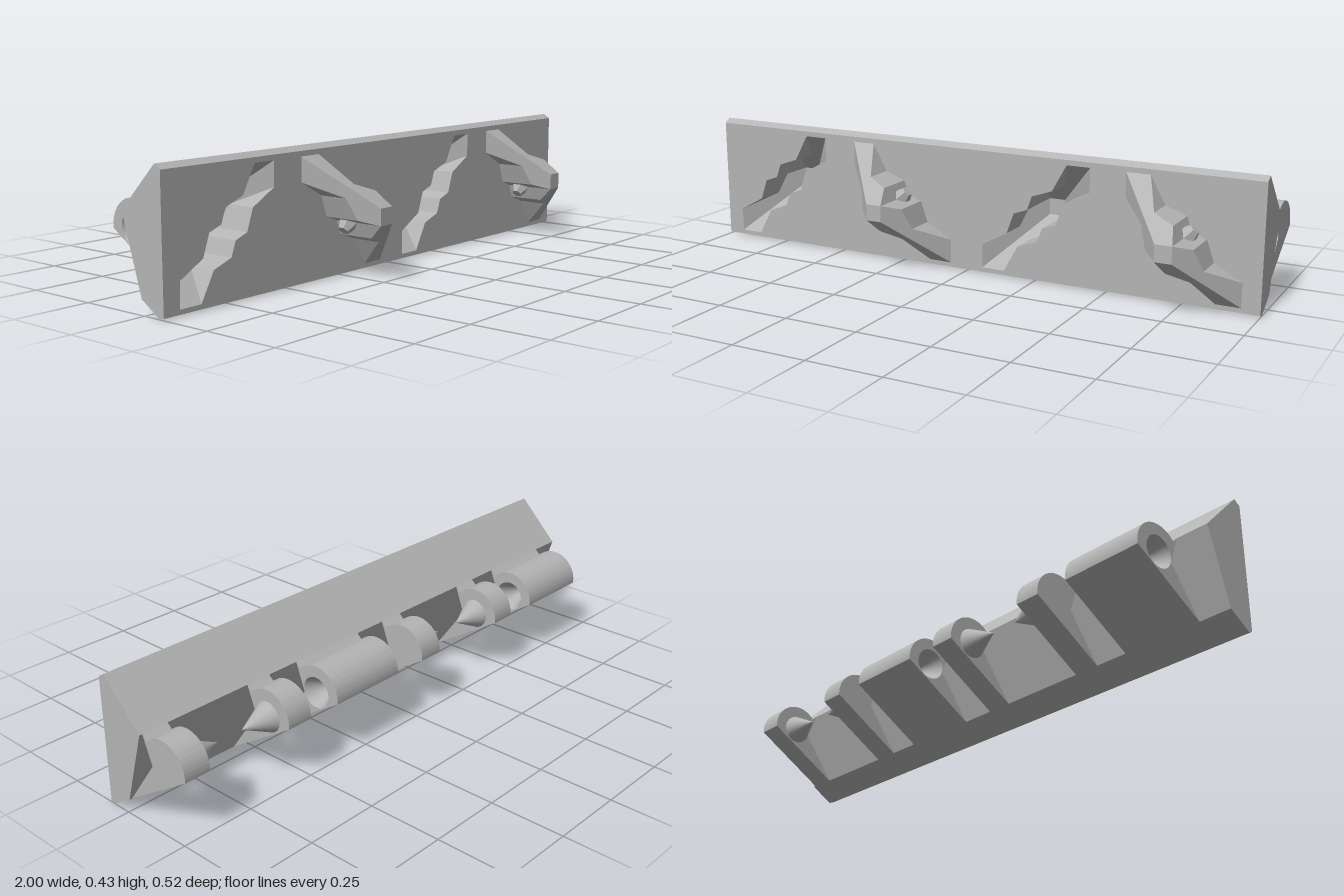
import * as THREE from 'three';
import { toCreasedNormals, mergeGeometries } from 'three/addons/utils/BufferGeometryUtils.js';

const grey = new THREE.MeshStandardMaterial({ color: 0xb4b4b4 });
grey.name = 'plainGrey';

const FRONT = 0.08, MID_Y = 0.21, PIN_Y = 0.213, PIN_Z = -0.17;
const R = 0.19, C = 0.0275, DEPTH = 0.18;
const HALF_PI = Math.PI / 2;

const v2 = (list) => list.map(([a, b]) => new THREE.Vector2(a, b));
const shapeOf = (list) => new THREE.Shape(v2(list));

function add(parent, name, geometry, x = 0, y = 0, z = 0) {
  const mesh = new THREE.Mesh(geometry, grey);
  mesh.name = name;
  mesh.position.set(x, y, z);
  parent.add(mesh);
  return mesh;
}

// One flank of the interlocking lug, from its outer corner to the tip
const flank = [[R, -R], [R, -0.11], [0.10, -0.06], [0.075, 0.01], [C, C]];
const mirrorDiagonal = ([u, v]) => [-v, -u];
const opposite = ([u, v]) => [-u, -v];
const halfOutline = [...flank, ...flank.slice(1, 4).map(mirrorDiagonal).map(opposite).reverse()];
const outline = [...halfOutline, ...halfOutline.map(opposite)];

// Height of the lug: a truncated square pyramid
const height = (u, v) =>
  DEPTH * Math.min(1, (R - Math.max(Math.abs(u), Math.abs(v))) / (R - C));

function lugGeometry() {
  const parts = [];
  const sloped = [...flank, [C, -C]];
  const tip = [[-C, -C], [C, -C], [C, C], [-C, C]];
  const flipped = sloped.map(mirrorDiagonal);
  for (const poly of [sloped, flipped, sloped.map(opposite), flipped.map(opposite), tip]) {
    const g = new THREE.ShapeGeometry(shapeOf(poly)).toNonIndexed();
    const p = g.attributes.position;
    for (let i = 0; i < p.count; i++) p.setZ(i, height(p.getX(i), p.getY(i)));
    parts.push(g);
  }
  // Straight walls down to the base plane
  const wall = [];
  outline.forEach(([u, v], i) => {
    const [s, t] = outline[(i + 1) % outline.length];
    const h = height(u, v), k = height(s, t);
    wall.push(u, v, 0, s, t, 0, s, t, k, u, v, 0, s, t, k, u, v, h);
  });
  const w = new THREE.BufferGeometry();
  w.setAttribute('position', new THREE.Float32BufferAttribute(wall, 3));
  for (const g of parts) { g.deleteAttribute('uv'); g.deleteAttribute('normal'); }
  const merged = mergeGeometries([...parts, w]);
  merged.computeVertexNormals();
  return merged;
}

// Cavity: the lug turned a quarter and pushed inward, so its faces look inside
function socketGeometry() {
  const g = lugGeometry();
  g.rotateZ(HALF_PI);
  g.scale(1, 1, -1);
  g.computeVertexNormals();
  return g;
}

// Bar cross-section as [z, y]
const section = [[FRONT, 0.417], [0.057, 0.432], [-0.085, 0.29], [-0.01, 0.047], [0.065, 0], [FRONT, 0.005]];

function barSides() {
  const pos = [];
  for (let i = 0; i < section.length - 1; i++) {
    const [az, ay] = section[i], [bz, by] = section[i + 1];
    pos.push(-1, ay, az, 1, ay, az, 1, by, bz, -1, ay, az, 1, by, bz, -1, by, bz);
  }
  const g = new THREE.BufferGeometry();
  g.setAttribute('position', new THREE.Float32BufferAttribute(pos, 3));
  g.computeVertexNormals();
  return g;
}

// Hinge knuckle running from x = 0 to x = width
function knuckleGeometry(width, bored) {
  const s = new THREE.Shape();
  s.moveTo(0.01, 0.047);
  s.lineTo(0.12, 0.2);
  s.lineTo(0.085, 0.29);
  s.lineTo(0.102, 0.275);
  s.absarc(-PIN_Z, PIN_Y, 0.09, 2.4, -0.1, true);
  s.lineTo(0.01, 0.047);
  if (bored) s.holes.push(new THREE.Path().absarc(-PIN_Z, PIN_Y, 0.052, 0, Math.PI * 2, false));
  const g = new THREE.ExtrudeGeometry(s, { depth: width, bevelEnabled: false, curveSegments: 28 });
  g.rotateY(HALF_PI);
  return toCreasedNormals(g, 0.5);
}

export function createModel() {
  const model = new THREE.Group();
  model.name = 'hingeBar';

  // Main bar: long sides, end caps, and a front pierced by the sockets
  add(model, 'barSides', barSides());
  for (const side of [1, -1]) {
    const cap = new THREE.ShapeGeometry(shapeOf(section.map(([z, y]) => [-side * z, y])));
    cap.rotateY(side * HALF_PI);
    add(model, 'barEnd', cap, side);
  }
  const front = shapeOf([[-1, 0.005], [1, 0.005], [1, 0.417], [-1, 0.417]]);
  for (const x of [-0.75, 0.25]) {
    front.holes.push(new THREE.Path(v2(outline.map(([u, v]) => [x - v, MID_Y + u]))));
  }
  add(model, 'barFront', new THREE.ShapeGeometry(front), 0, 0, FRONT);

  const lug = lugGeometry(), socket = socketGeometry();
  const wide = knuckleGeometry(0.28, true), narrow = knuckleGeometry(0.09, false);
  const bump = new THREE.CylinderGeometry(0.018, 0.038, 0.045, 6).toNonIndexed();
  bump.computeVertexNormals();
  const pin = new THREE.ConeGeometry(0.05, 0.105, 32);
  const bore = new THREE.LatheGeometry(v2([[0, 0.105], [0.052, 0]]), 32);

  // Each half of the bar carries the same set of parts
  for (const x of [-0.5, 0.5]) {
    const half = new THREE.Group();
    half.name = 'hingeSection';
    half.position.x = x;
    model.add(half);

    add(half, 'lugSocket', socket, -0.25, MID_Y, FRONT);
    add(half, 'lug', lug, 0.25, MID_Y, FRONT);
    for (const s of [1, -1]) {
      const catchBump = add(half, 'lugCatch', bump, 0.25 + s * 0.037, MID_Y + s * 0.037, FRONT + 0.05);
      catchBump.rotation.z = s > 0 ? -Math.PI / 4 : Math.PI * 0.75;
    }

    add(half, 'wideKnuckle', wide, -0.39);
    for (const s of [1, -1]) {
      // Conical bores in both ends of the wide knuckle
      add(half, 'pinBore', bore, -0.25 + s * 0.14, PIN_Y, PIN_Z).rotation.z = s * HALF_PI;
      // Narrow knuckles with pointed pins facing each other
      add(half, 'narrowKnuckle', narrow, s > 0 ? 0.4 : 0.005);
      add(half, 'hingePin', pin, 0.2475 + s * 0.1, PIN_Y, PIN_Z).rotation.z = s * HALF_PI;
    }
  }
  return model;
}
